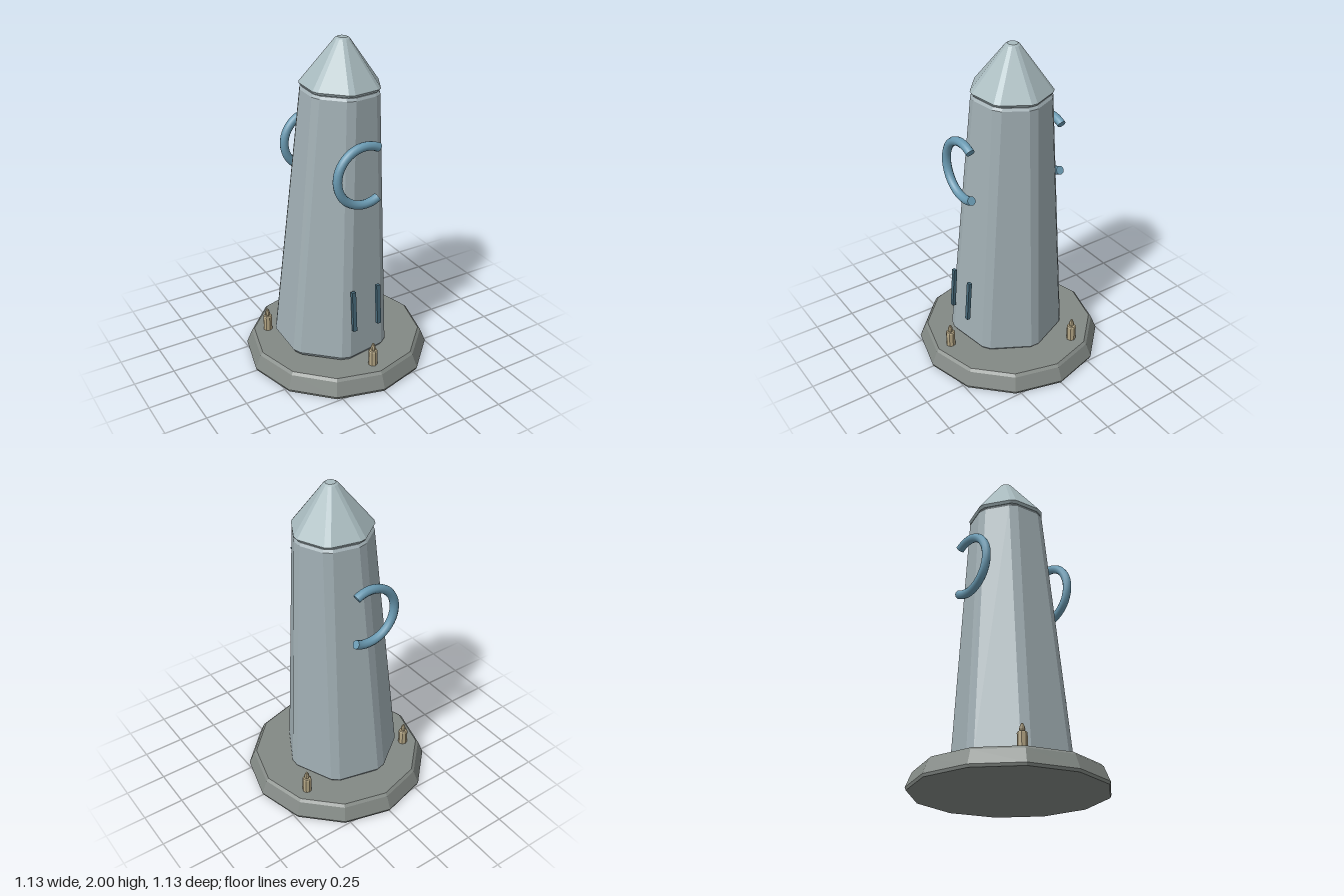
import * as THREE from 'three';

const mat = (name, color, flatShading = true) => {
  const m = new THREE.MeshStandardMaterial({ color, flatShading });
  m.name = name;
  return m;
};

// Closed loft of seven-sided sections [radius, y] with chamfered corners
function chamferedLoft(sections, chamfer) {
  const sides = 7, twist = 0.044;
  const loops = sections.map(([r, y]) => {
    const c = Math.min(chamfer, r * 0.25);
    const corner = (k) => {
      const a = (k / sides) * Math.PI * 2 + twist;
      return new THREE.Vector3(r * Math.cos(a), y, r * Math.sin(a));
    };
    const pts = [];
    for (let k = 0; k < sides; k++) {
      for (const n of [k - 1, k + 1]) {
        const v = corner(k);
        pts.push(v.clone().add(corner(n).sub(v).setLength(c)));
      }
    }
    return pts;
  });
  const out = [];
  const tri = (...p) => p.forEach((v) => out.push(v.x, v.y, v.z));
  const n = sides * 2, last = loops.length - 1;
  const bottom = new THREE.Vector3(0, sections[0][1], 0);
  const top = new THREE.Vector3(0, sections[last][1], 0);
  for (let i = 0; i < n; i++) {
    const j = (i + 1) % n;
    for (let s = 0; s < last; s++) {
      const lo = loops[s], hi = loops[s + 1];
      tri(lo[i], hi[i], lo[j]);
      tri(hi[i], hi[j], lo[j]);
    }
    tri(bottom, loops[0][i], loops[0][j]);
    tri(top, loops[last][j], loops[last][i]);
  }
  const g = new THREE.BufferGeometry();
  g.setAttribute('position', new THREE.Float32BufferAttribute(out, 3));
  g.computeVertexNormals();
  return g;
}

const lathe = (pts, sides) =>
  new THREE.LatheGeometry(pts.map(([r, y]) => new THREE.Vector2(r, y)), sides);

export function createModel() {
  const model = new THREE.Group();
  const stone = mat('paleStone', 0xa1afb4);
  const capStone = mat('capStone', 0xa8babe);
  const baseStone = mat('baseStone', 0x838985);
  const blue = mat('blueMetal', 0x6a9ab2, false);
  const slotBlue = mat('darkSlot', 0x466878);
  const tan = mat('tanWax', 0xb3a584);

  const add = (parent, name, geometry, material, x = 0, y = 0, z = 0) => {
    const m = new THREE.Mesh(geometry, material);
    m.name = name;
    m.position.set(x, y, z);
    parent.add(m);
    return m;
  };

  // Twelve-sided plinth
  add(model, 'plinth', lathe([[0, 0], [0.56, 0], [0.566, 0.016], [0.532, 0.1], [0.516, 0.115], [0, 0.115]], 12), baseStone);

  // Leaning shaft and its pointed cap
  const tower = new THREE.Group();
  tower.name = 'leaningTower';
  tower.position.set(-0.035, 0.14, 0);
  tower.rotation.z = -0.04;
  model.add(tower);
  add(tower, 'shaft', chamferedLoft([[0.342, -0.024], [0.36, 0], [0.24, 1.565], [0.228, 1.58]], 0.03), stone);
  add(tower, 'pointedCap', chamferedLoft([[0.23, 1.584], [0.241, 1.6], [0.045, 1.852], [0.032, 1.86]], 0.02), capStone);

  // Open rings on front and back
  const R = 0.174, r = 0.026, gap = Math.PI / 3, arc = Math.PI * 4 / 3;
  for (const [name, z] of [['frontRing', 0.308], ['backRing', -0.308]]) {
    const ring = new THREE.Group();
    ring.name = name;
    ring.position.set(0, 1.3, z);
    ring.rotation.z = gap;
    model.add(ring);
    add(ring, 'ringArc', new THREE.TorusGeometry(R, r, 10, 32, arc), blue);
    // End discs
    add(ring, 'ringEnd', new THREE.CircleGeometry(r, 10), blue, R, 0, 0).rotation.x = Math.PI / 2;
    const end = add(ring, 'ringEnd', new THREE.CircleGeometry(r, 10), blue, R * Math.cos(arc), R * Math.sin(arc), 0);
    end.rotation.set(-Math.PI / 2, 0, 0);
    end.rotation.order = 'ZYX';
    end.rotation.z = arc;
  }

  // Narrow slots low on the front
  for (const x of [-0.083, 0.083]) {
    add(model, x > 0 ? 'leftSlot' : 'rightSlot', new THREE.BoxGeometry(0.025, 0.256, 0.02), slotBlue, x, 0.462, 0.345).rotation.x = -0.075;
  }

  // Three candles around the plinth
  const candle = lathe([[0, 0], [0.028, 0], [0.028, 0.092], [0.024, 0.098], [0.012, 0.098], [0.016, 0.112], [0.014, 0.125], [0.005, 0.144], [0, 0.145]], 8);
  for (let i = 0; i < 3; i++) {
    const a = (i / 3) * Math.PI * 2;
    add(model, 'candle', candle, tan, 0.43 * Math.sin(a), 0.115, 0.43 * Math.cos(a));
  }
  return model;
}
